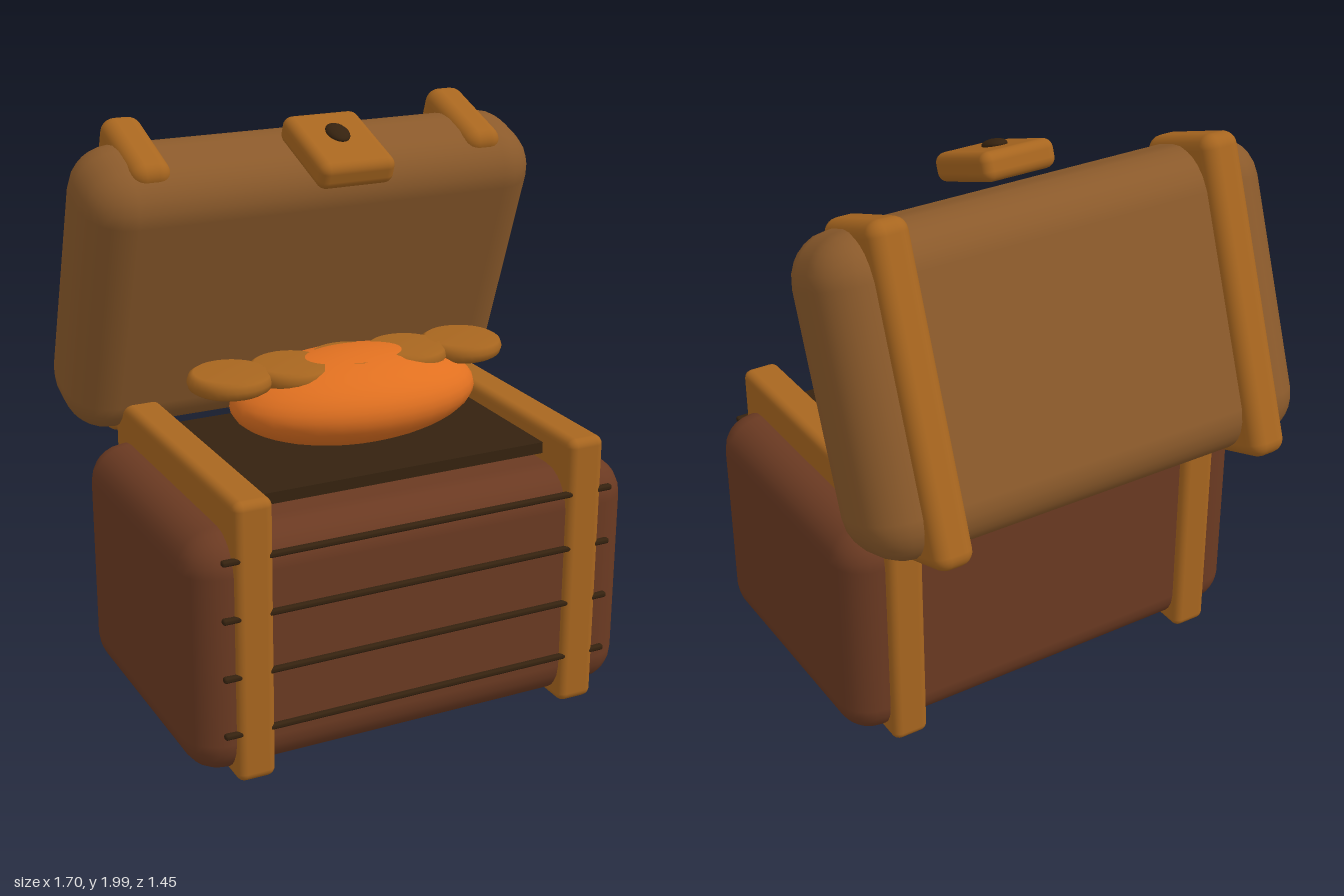
import * as THREE from 'three';
import { RoundedBoxGeometry } from 'three/addons/geometries/RoundedBoxGeometry.js';

const mat = (name, color) => {
  const m = new THREE.MeshStandardMaterial({ color });
  m.name = name;
  return m;
};

export function createModel() {
  const redWood = mat('redWood', 0x6b3a22);
  const lidWood = mat('lidWood', 0x8b5a2b);
  const brass = mat('brass', 0xa8661f);
  const dark = mat('dark', 0x35220f);
  const orange = mat('orange', 0xe07020);

  const chest = new THREE.Group();
  chest.name = 'chest';

  const add = (parent, name, geometry, material, x, y, z) => {
    const mesh = new THREE.Mesh(geometry, material);
    mesh.name = name;
    mesh.position.set(x, y, z);
    parent.add(mesh);
    return mesh;
  };
  const box = (w, h, d, r, seg = 3) => new RoundedBoxGeometry(w, h, d, seg, r);

  // Base with its two straps
  add(chest, 'base', box(1.64, 0.85, 1.04, 0.13), redWood, 0, 0.435, 0.19);
  for (const s of [-1, 1]) {
    add(chest, 'baseStrap', box(0.135, 0.985, 1.09, 0.03), brass, s * 0.61, 0.4925, 0.185);
  }

  // Plank seams across the front
  for (const y of [0.18, 0.385, 0.59, 0.79]) {
    add(chest, 'plankSeam', box(1.44, 0.02, 0.024, 0.008, 2), dark, 0, y, 0.715);
  }

  // Dark inside, seen from above
  add(chest, 'interior', new THREE.BoxGeometry(1.2, 0.04, 0.73), dark, 0, 0.905, 0.19);

  // Treasure heap with a row of coins
  const heap = add(chest, 'treasureHeap', new THREE.SphereGeometry(1, 32, 20), orange, 0, 1.075, 0.19);
  heap.scale.set(0.45, 0.155, 0.28);

  const coinProfile = [[0, -0.032], [0.122, -0.032], [0.138, -0.022], [0.145, 0],
    [0.138, 0.022], [0.122, 0.032], [0, 0.032]].map(([x, y]) => new THREE.Vector2(x, y));
  const coin = new THREE.LatheGeometry(coinProfile, 28);
  for (let i = 0; i < 5; i++) {
    add(chest, 'coin', coin, brass, -0.455 + i * 0.22, 1.185, 0.18);
  }

  // Open lid, built closed and then tipped back
  const lid = new THREE.Group();
  lid.name = 'lid';
  lid.position.set(0, 1.395, -0.315);
  lid.rotation.x = THREE.MathUtils.degToRad(-70);
  chest.add(lid);

  add(lid, 'lidShell', box(1.7, 0.4, 1.07, 0.16), lidWood, 0, 0, 0);
  for (const s of [-1, 1]) {
    add(lid, 'lidStrap', box(0.145, 0.37, 1.12, 0.05), brass, s * 0.625, 0.057, 0);
  }

  // Lock plate and keyhole
  add(lid, 'lockPlate', box(0.28, 0.35, 0.1, 0.035), brass, 0, -0.183, 0.601);
  const keyhole = add(lid, 'keyhole', new THREE.SphereGeometry(1, 16, 12), dark, 0, -0.165, 0.655);
  keyhole.scale.set(0.04, 0.055, 0.018);

  return chest;
}
